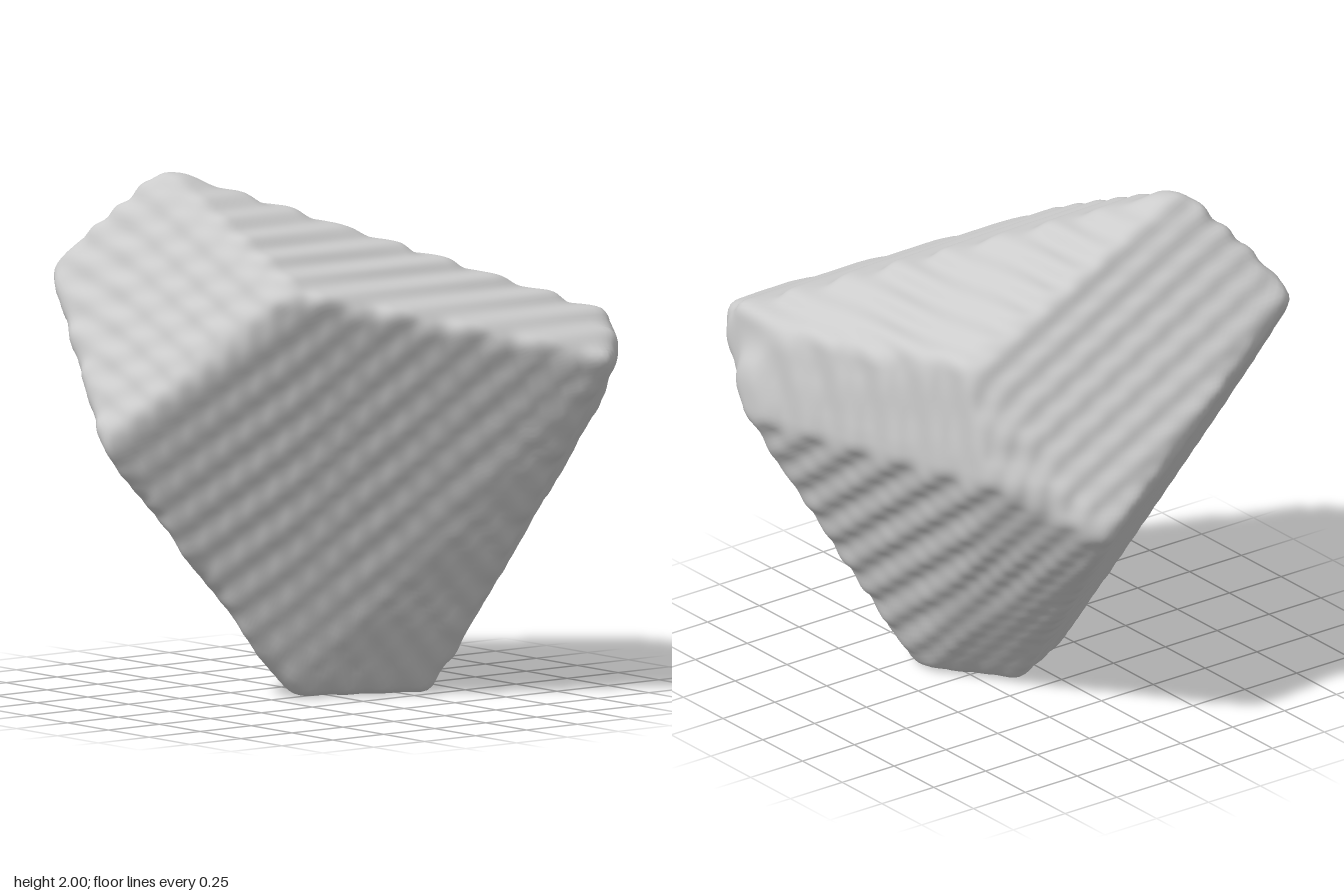
import * as THREE from 'three';
import { mergeVertices } from 'three/addons/utils/BufferGeometryUtils.js';
import { ConvexGeometry } from 'three/addons/geometries/ConvexGeometry.js';

// Corners of the faceted rock
const CORNERS = [
  [-0.48, 2.03, 0.43], [-0.81, 1.64, 0.71], [-0.17, 1.02, 0.96], [0.38, 1.63, 0.43], // upper front facet
  [0.95, 1.35, -0.67], [0.83, 1.4, -0.81], [0.66, 1.48, -0.86], [0.46, 1.45, -0.88], [-0.45, 1.55, -0.6], // upper back rim
  [0.52, 1.1, -0.95], [-0.62, 1.1, -0.59], [-0.95, 0.9, -0.31],                     // waist at the back and side
  [0, 0, 0.17], [-0.16, 0, -0.14], [0.16, 0, -0.37], [0.24, 0, -0.34],              // small foot
].map((c) => new THREE.Vector3(...c));

const CELL = 0.0625; // voxel size that gives the terraced surface
const N = 40;        // voxels per side
const ORIGIN = new THREE.Vector3(-N * CELL / 2, -4 * CELL, -N * CELL / 2);
const CENTRE = new THREE.Vector3(0, 1.1, 0);

// Outward planes of the convex hull
function hullPlanes(points) {
  const pos = new ConvexGeometry(points).getAttribute('position');
  const planes = [];
  for (let i = 0; i < pos.count; i += 3) {
    const [a, b, c] = [0, 1, 2].map((k) => new THREE.Vector3().fromBufferAttribute(pos, i + k));
    planes.push(new THREE.Plane().setFromCoplanarPoints(a, b, c));
  }
  return planes;
}

// Quadratic spline weights around the nearest voxel
function spline(g) {
  const base = Math.round(g);
  const t = g - base;
  return { base, w: [0.5 * (0.5 - t) ** 2, 0.75 - t * t, 0.5 * (0.5 + t) ** 2] };
}

// Voxels with slightly soft borders, blended smoothly into a rounded solid
function voxelField(planes) {
  const solid = new Float32Array(N * N * N);
  const p = new THREE.Vector3();
  const at = (i, j, k) => (i * N + j) * N + k;
  for (let i = 0; i < N; i++)
    for (let j = 0; j < N; j++)
      for (let k = 0; k < N; k++) {
        p.set(i + 0.5, j + 0.5, k + 0.5).multiplyScalar(CELL).add(ORIGIN);
        let d = -Infinity;
        for (const pl of planes) d = Math.max(d, pl.distanceToPoint(p));
        solid[at(i, j, k)] = THREE.MathUtils.clamp(0.5 - (d - 0.004) / (0.5 * CELL), 0, 1);
      }
  return (v) => {
    const x = spline((v.x - ORIGIN.x) / CELL - 0.5);
    const y = spline((v.y - ORIGIN.y) / CELL - 0.5);
    const z = spline((v.z - ORIGIN.z) / CELL - 0.5);
    if ([x, y, z].some((s) => s.base < 1 || s.base > N - 2)) return 0;
    let sum = 0;
    for (let a = 0; a < 3; a++)
      for (let b = 0; b < 3; b++)
        for (let c = 0; c < 3; c++)
          sum += x.w[a] * y.w[b] * z.w[c] * solid[at(x.base + a - 1, y.base + b - 1, z.base + c - 1)];
    return sum;
  };
}

export function createModel() {
  const field = voxelField(hullPlanes(CORNERS));

  // Fine sphere whose vertices are pulled along their rays onto the voxel surface
  let geo = new THREE.IcosahedronGeometry(1, 64);
  geo.deleteAttribute('normal');
  geo.deleteAttribute('uv');
  geo = mergeVertices(geo, 1e-5);
  const pos = geo.getAttribute('position');
  const dir = new THREE.Vector3();
  const p = new THREE.Vector3();
  const inside = (r) => field(p.copy(dir).multiplyScalar(r).add(CENTRE)) >= 0.5;
  for (let i = 0; i < pos.count; i++) {
    dir.fromBufferAttribute(pos, i).normalize();
    let lo = 1.4;
    while (lo > 0.1 && !inside(lo)) lo -= 0.03;
    let hi = lo + 0.03;
    for (let s = 0; s < 8; s++) {
      const mid = (lo + hi) / 2;
      if (inside(mid)) lo = mid; else hi = mid;
    }
    p.copy(dir).multiplyScalar(lo).add(CENTRE);
    pos.setXYZ(i, p.x, p.y, p.z);
  }

  // Stand it on the ground, centred
  geo.computeBoundingBox();
  const mid = geo.boundingBox.getCenter(new THREE.Vector3());
  geo.translate(-mid.x, -geo.boundingBox.min.y, -mid.z);
  geo.computeVertexNormals();

  const rock = new THREE.Mesh(geo, new THREE.MeshStandardMaterial({ color: 0xcccccc }));
  rock.name = 'rock';
  const group = new THREE.Group();
  group.name = 'facetedRock';
  group.add(rock);
  return group;
}
